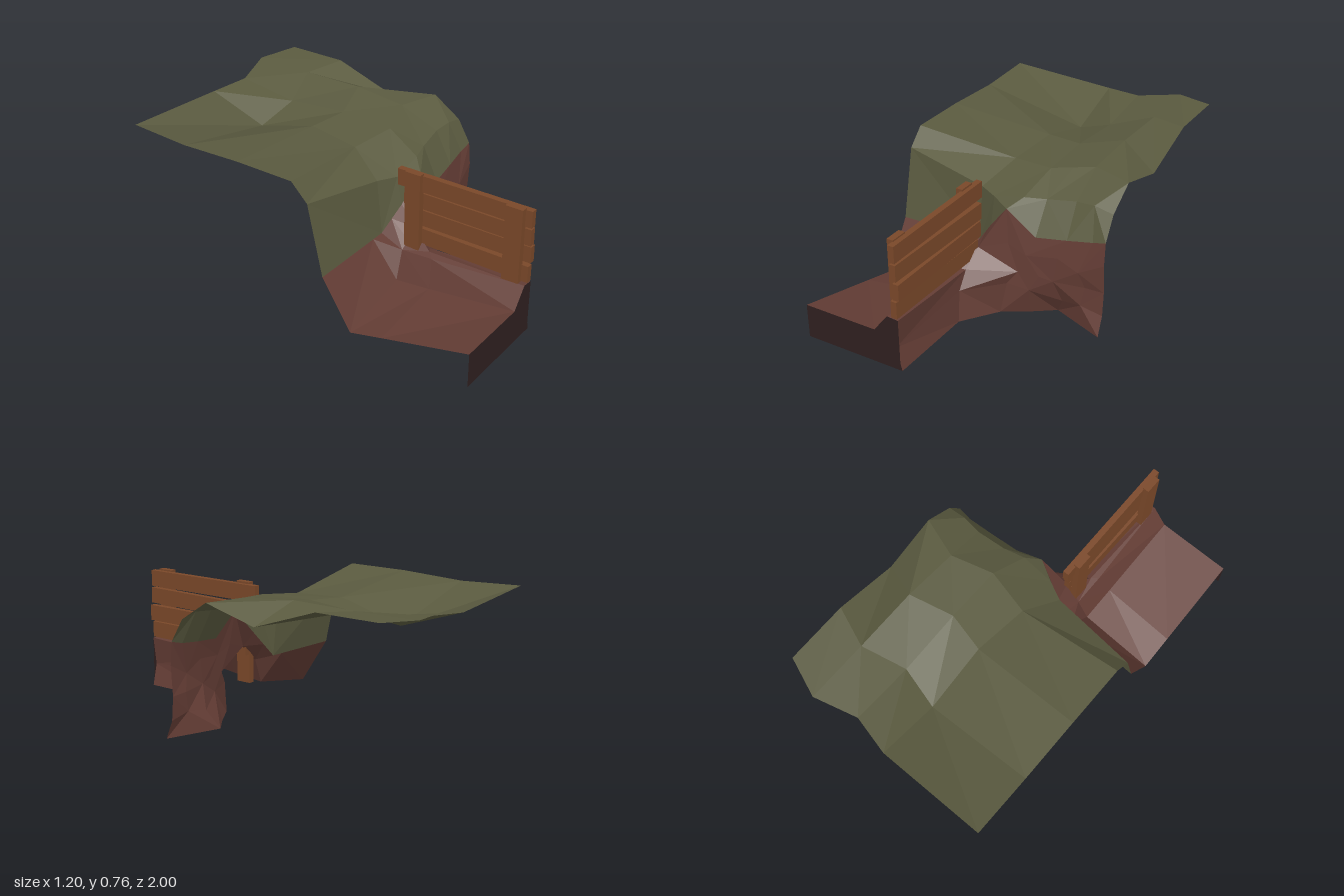
import * as THREE from 'three';

const material = (color) => new THREE.MeshStandardMaterial({ color, flatShading: true, side: THREE.DoubleSide });
const grass = material(0x5a5a3f);
const rock = material(0x643d35);
const darkEarth = material(0x2f2020);
const wood = material(0x7a4829);

// Faceted surface spanned between rows of [x, y, z] points of equal length.
function sheet(name, rows, mat, alternate = true) {
  const n = rows[0].length;
  const index = [];
  for (let r = 0; r < rows.length - 1; r++) {
    for (let c = 0; c < n - 1; c++) {
      const a = r * n + c, b = a + 1, d = a + n, e = d + 1;
      if (alternate && (r + c) % 2) index.push(a, b, e, a, e, d);
      else index.push(a, b, d, b, e, d);
    }
  }
  const geo = new THREE.BufferGeometry();
  geo.setAttribute('position', new THREE.Float32BufferAttribute(rows.flat(2), 3));
  geo.setIndex(index);
  const flat = geo.toNonIndexed();
  flat.computeVertexNormals();
  const mesh = new THREE.Mesh(flat, mat);
  mesh.name = name;
  return mesh;
}

function box(name, size, position, tiltX = 0, tiltY = 0) {
  const mesh = new THREE.Mesh(new THREE.BoxGeometry(...size), wood);
  mesh.name = name;
  mesh.position.set(...position);
  mesh.rotation.set(tiltX, tiltY, 0);
  return mesh;
}

export function createModel() {
  const model = new THREE.Group();

  // Rolling plateau: each row runs left to right, from front brow to back edge
  const brow = [[-0.6, 0.73, 0.02], [-0.05, 0.665, -0.02], [0.18, 0.69, 0.03], [0.39, 0.72, -0.04], [0.6, 0.72, 0.03]];
  const xs = [-0.6, -0.02, 0.18, 0.4, 0.6];
  const zShift = [0, 0, 0.045, -0.02, 0.055];
  const heights = [
    [-0.31, [0.73, 0.685, 0.7, 0.745, 0.645]],
    [-0.65, [0.715, 0.59, 0.67, 0.74, 0.76]],
    [-0.98, [0.73, 0.7, 0.715, 0.745, 0.76]],
  ];
  const hills = heights.map(([z, ys]) => ys.map((y, i) => [xs[i], y, z + zShift[i]]));
  model.add(sheet('grassPlateau', [brow, ...hills], grass, false));

  // Cliff columns, each from foot to grass line
  const cliff = [
    [[-0.05, 0, 0.53], [-0.06, 0.16, 0.5], [-0.06, 0.25, 0.44], [-0.05, 0.33, 0.34], [-0.03, 0.42, 0.25]],
    [[0.08, 0, 0.35], [0.11, 0.17, 0.335], [0.16, 0.24, 0.315], [0.1, 0.38, 0.305], [0.08, 0.555, 0.285]],
    [[0.21, 0, 0.27], [0.22, 0.15, 0.31], [0.27, 0.24, 0.3], [0.2, 0.34, 0.305], [0.24, 0.44, 0.28]],
    [[0.32, 0, 0.19], [0.37, 0.1, 0.24], [0.34, 0.225, 0.285], [0.36, 0.36, 0.28], [0.4, 0.46, 0.26]],
    [[0.46, 0, 0.245], [0.48, 0.12, 0.26], [0.5, 0.225, 0.255], [0.47, 0.31, 0.275], [0.53, 0.48, 0.245]],
    [[0.6, 0, 0.3], [0.6, 0.1, 0.26], [0.6, 0.225, 0.25], [0.6, 0.38, 0.26], [0.6, 0.5, 0.25]],
  ];
  model.add(sheet('rockCliff', cliff, rock));

  // Grass bank dropping from the brow to the rock
  const mid = (a, b) => a.map((v, i) => (v + b[i]) / 2);
  const bankTop = [brow[0], brow[1], mid(brow[1], brow[2]), brow[2], mid(brow[2], brow[3]), brow[3],
    mid(brow[3], brow[4]), brow[4]];
  const bankMiddle = [[-0.6, 0.64, 0.11], [-0.13, 0.57, 0.17], [-0.03, 0.565, 0.22], [0.14, 0.605, 0.22],
    [0.25, 0.61, 0.19], [0.4, 0.63, 0.17], [0.5, 0.64, 0.18], [0.6, 0.62, 0.18]];
  const bankFoot = [[-0.6, 0.27, 0.19], [-0.13, 0.285, 0.2], ...cliff.map((column) => column[4])];
  model.add(sheet('grassBank', [bankFoot, bankMiddle, bankTop], grass));

  // Path: floor sinking towards the bank, raised lip and outer wall
  const pathFront = [[-0.6, 0.18, 1], [-0.2, 0.18, 1], [-0.14, 0.255, 1], [-0.12, 0.28, 1], [-0.06, 0.275, 1],
    [-0.08, 0.12, 1], [-0.05, 0, 1]];
  const pathMiddle = [[-0.6, 0.065, 0.53], [-0.2, 0.12, 0.53], [-0.14, 0.25, 0.5], [-0.11, 0.265, 0.47],
    cliff[0][2], cliff[0][1], cliff[0][0]];
  model.add(sheet('path', [pathFront, pathMiddle], rock));

  // Bottom of the path and the steep climb to the foot of the bank
  model.add(sheet('pathEnd', [
    pathMiddle.slice(0, 5),
    [[-0.6, 0.02, 0.35], [-0.2, 0.1, 0.34], [-0.14, 0.24, 0.33], [-0.1, 0.28, 0.34], cliff[0][3]],
    [bankFoot[0], [-0.2, 0.283, 0.1985], bankFoot[1], mid(bankFoot[1], bankFoot[2]), bankFoot[2]],
  ], rock));

  // Dark earth face closing the front end of the path
  model.add(sheet('pathFrontFace', [pathFront, pathFront.map(([x]) => [x, 0, 1])], darkEarth));

  // Fence: four uneven planks on two posts
  const fence = new THREE.Group();
  fence.name = 'fence';
  const planks = [
    [-0.077, 0.324, 0.33, 0.088, -0.006],
    [-0.066, 0.422, 0.31, 0.086, -0.006],
    [-0.072, 0.518, 0.3, 0.086, -0.012],
    [-0.08, 0.617, 0.27, 0.088, -0.004],
  ];
  planks.forEach(([x, y, zEnd, height, tilt], i) => {
    fence.add(box('plank' + (i + 1), [0.032, height, 1 - zEnd], [x, y, (1 + zEnd) / 2], tilt, i % 2 ? 0.008 : -0.008));
  });
  fence.add(box('frontPost', [0.034, 0.45, 0.09], [-0.105, 0.445, 0.92]));
  fence.add(box('backPost', [0.034, 0.55, 0.085], [-0.105, 0.395, 0.37]));
  model.add(fence);

  return model;
}
